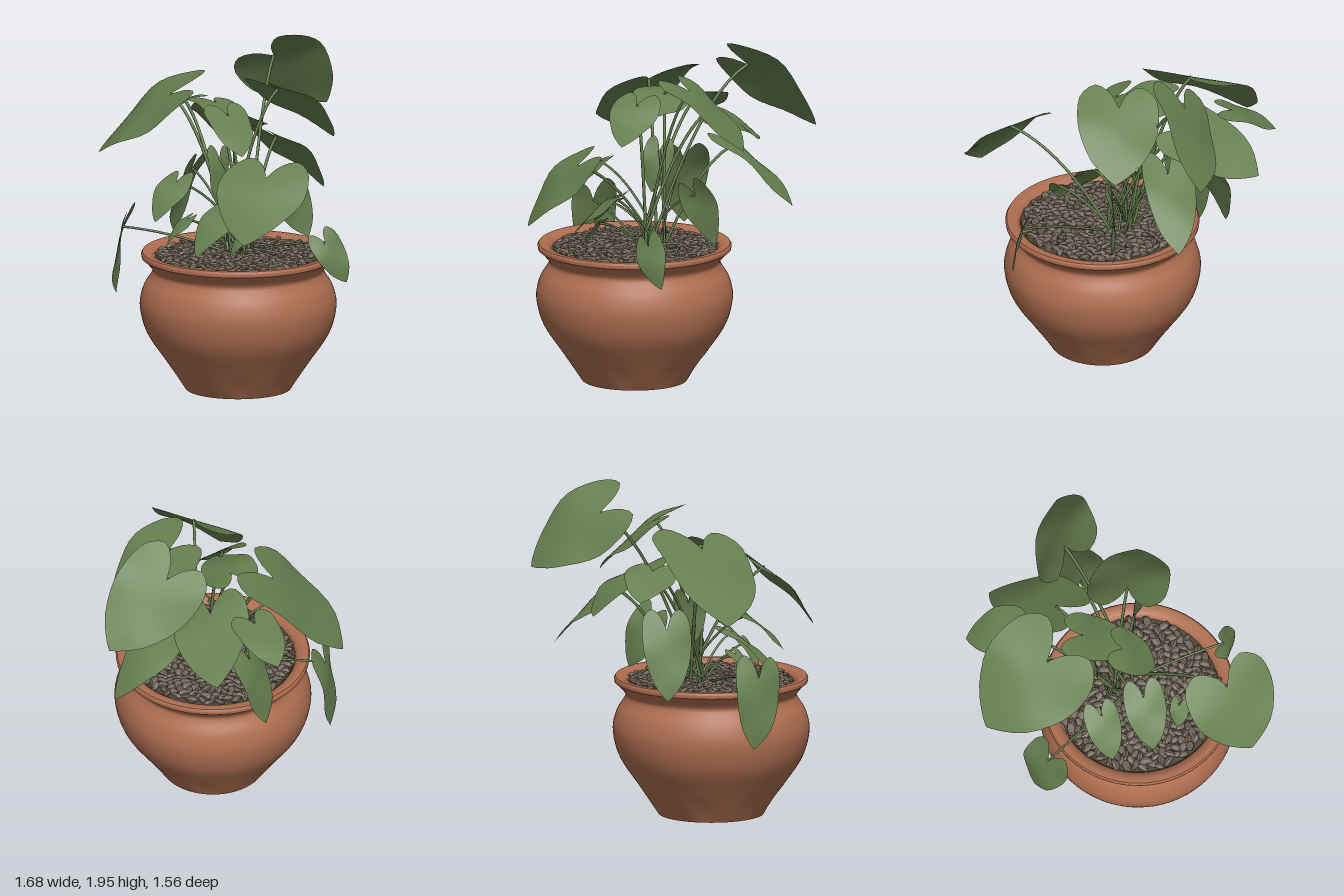
import * as THREE from 'three';
import { mergeGeometries, toCreasedNormals } from 'three/addons/utils/BufferGeometryUtils.js';

const V = (a) => new THREE.Vector3(...a);
const CENTRE = [0.11, 0.22]; // pot axis (x, z)
const CROWN = [0.03, 0.76, 0.13]; // where the stems leave the soil

// Tall leaves: name, stem joint, tip, roll about the midrib, width over length
const CANOPY = [
  ['topBackLeaf', [-0.2, 1.79, -0.38], [-0.17, 1.46, -0.78], 0.8, 0.96],
  ['upperBackLeaf', [0.11, 1.69, -0.1], [0.23, 1.38, -0.43], 0.2, 1.02],
  ['lowerBackLeaf', [-0.12, 1.34, -0.32], [-0.08, 1.0, -0.66], 0.1, 0.63],
  ['backRightLeaf', [-0.3, 1.49, -0.14], [-0.64, 1.27, -0.37], -0.35, 0.95],
  ['bigFrontRightLeaf', [-0.42, 1.63, 0.23], [-0.81, 1.26, 0.42], 0.27, 1.1],
  ['bigFrontLeftLeaf', [0.58, 1.34, 0.47], [0.67, 1, 0.74], 0.05, 1.2],
  ['sideRightLeaf', [-0.58, 1.53, -0.04], [-0.83, 1.39, -0.08], 0.1, 1],
  ['middleLeaf', [-0.2, 1.6, 0.1], [0.09, 1.5, 0.2], 0.2, 0.98],
  ['frontUpperLeaf', [0.02, 1.58, 0.22], [0.2, 1.37, 0.28], 0.1, 1],
];

// Young leaves, all of one proportion: name, stem joint, tip, roll
const YOUNG = [
  ['frontHeartLeaf', [0.12, 1.05, 0.34], [0.13, 0.82, 0.58], 0],
  ['frontSmallLeaf', [-0.15, 1.2, 0.46], [-0.12, 1, 0.66], 0],
  ['hangingRightLeaf', [-0.48, 0.9, 0.56], [-0.55, 0.5, 0.54], 0.9],
  ['droopingRightLeaf', [-0.45, 1.16, 0.03], [-0.57, 0.77, 0.05], 0.2],
  ['sideLeftLeaf', [0.64, 0.9, 0.05], [0.72, 0.67, -0.04], -1.2],
  ['innerLeftLeaf', [0.16, 1.1, -0.14], [0.2, 0.82, -0.26], 1.5],
  ['innerRightLeaf', [-0.14, 1.28, 0.12], [-0.12, 1.04, 0.16], 1.1],
  ['babyLeftLeaf', [0.32, 0.95, 0.39], [0.29, 0.82, 0.47], 0],
  ['babyRightLeaf', [-0.13, 0.97, 0.39], [-0.18, 0.84, 0.5], 0],
];
const YOUNG_RATIO = 0.72;

// Half of a heart outline as (side, along): notch at the origin, tip at (0, 1)
const HALF = [[0, 0], [0.2, -0.2], [0.55, -0.31], [0.9, -0.16], [1, 0.12], [0.92, 0.4], [0.6, 0.72], [0.22, 0.92], [0, 1]];

function heartOutline() {
  const half = new THREE.SplineCurve(HALF.map((p) => new THREE.Vector2(...p))).getPoints(20);
  const other = half.slice(1, -1).reverse().map((p) => new THREE.Vector2(-p.x, p.y));
  return [...half, ...other];
}

// Heart-shaped blade made of rings that shrink toward the midrib, arched lengthwise
function leafGeometry(base, tip, roll, ratio) {
  const outline = heartOutline(), n = outline.length, rings = 5;
  const axis = tip.clone().sub(base), len = axis.length();
  const side = new THREE.Vector3(-axis.z, 0, axis.x).normalize();
  side.applyAxisAngle(axis.clone().normalize(), -roll);
  const normal = new THREE.Vector3().crossVectors(side, axis).normalize();
  const pos = [], index = [];
  const put = (s, t) => {
    const h = len * (0.2 * t * (1 - t) - 0.03 * s * s + 0.04 * s * Math.sin(6 * t));
    const p = base.clone().addScaledVector(axis, t).addScaledVector(side, (s * len * ratio) / 2).addScaledVector(normal, h);
    pos.push(p.x, p.y, p.z);
  };
  put(0, 0.3);
  for (let r = 1; r <= rings; r++) {
    for (const o of outline) put((o.x * r) / rings, 0.3 + ((o.y - 0.3) * r) / rings);
  }
  for (let i = 0; i < n; i++) {
    const j = (i + 1) % n;
    index.push(0, 1 + i, 1 + j);
    for (let r = 1; r < rings; r++) {
      const a = 1 + (r - 1) * n, b = a + n;
      index.push(a + i, b + i, b + j, a + i, b + j, a + j);
    }
  }
  const g = new THREE.BufferGeometry();
  g.setAttribute('position', new THREE.Float32BufferAttribute(pos, 3));
  g.setIndex(index);
  g.computeVertexNormals();
  return g;
}

// Slender stem rising from the crown and arching over to the leaf joint
function stemGeometry(joint, i) {
  const start = V(CROWN).add(new THREE.Vector3(0.07 * Math.cos(i * 2.4), 0, 0.07 * Math.sin(i * 2.4)));
  const bend = start.clone().lerp(joint, 0.5);
  bend.y = start.y + (joint.y - start.y) * 0.85;
  const curve = new THREE.QuadraticBezierCurve3(start, bend, joint);
  return new THREE.TubeGeometry(curve, 16, joint.y > 1.3 ? 0.009 : 0.007, 6);
}

function potGeometry() {
  const points = (list) => list.map((p) => new THREE.Vector2(...p));
  const belly = new THREE.SplineCurve(points([[0.3, 0], [0.41, 0.165], [0.52, 0.33], [0.56, 0.48],
    [0.54, 0.59], [0.495, 0.665], [0.49, 0.7], [0.535, 0.755]])).getPoints(36);
  const foot = points([[0, 0.012], [0.27, 0.012], [0.285, 0]]);
  const rim = points([[0.55, 0.765], [0.553, 0.785], [0.545, 0.798], [0.52, 0.8], [0.49, 0.79], [0.47, 0.77], [0.46, 0.7]]);
  const g = new THREE.LatheGeometry([...foot, ...belly, ...rim], 72);
  // Shallow thumb dents around the foot
  const p = g.attributes.position;
  for (let i = 0; i < p.count; i++) {
    const x = p.getX(i), y = p.getY(i), z = p.getZ(i);
    if (y > 0.16 || Math.hypot(x, z) < 0.29) continue;
    const dent = 1 - 0.02 * Math.max(0, Math.cos(8 * Math.atan2(x, z))) * Math.sin((Math.PI * y) / 0.16);
    p.setX(i, x * dent);
    p.setZ(i, z * dent);
  }
  return toCreasedNormals(g, 0.7);
}

// Bed of elongated pebbles on a spiral scatter
function pebbleGeometry() {
  let seed = 7;
  const rand = () => (seed = (seed * 16807) % 2147483647) / 2147483647;
  const list = [], count = 380;
  for (let i = 0; i < count; i++) {
    const r = 0.45 * Math.sqrt((i + 0.5) / count), a = i * 2.39996;
    const g = new THREE.IcosahedronGeometry(1, 0);
    g.scale(0.034 + 0.016 * rand(), 0.015 + 0.006 * rand(), 0.019 + 0.008 * rand());
    g.rotateZ((rand() - 0.5) * 0.6);
    g.rotateY(rand() * Math.PI);
    g.translate(r * Math.cos(a), 0.768 + 0.014 * rand(), r * Math.sin(a));
    list.push(g);
  }
  return mergeGeometries(list);
}

export function createModel() {
  const model = new THREE.Group();
  const mat = (name, color, extra = {}) => {
    const m = new THREE.MeshStandardMaterial({ color, ...extra });
    m.name = name;
    return m;
  };
  const terracotta = mat('terracotta', 0xae6e50);
  const soilMat = mat('darkSoil', 0x51473b);
  const stone = mat('pebbleBrown', 0x72675a, { flatShading: true });
  const leafGreen = mat('leafGreen', 0x667f4f, { side: THREE.DoubleSide });
  const stemGreen = mat('stemGreen', 0x627c4b);
  const add = (parent, name, geo, material) => {
    const mesh = new THREE.Mesh(geo, material);
    mesh.name = name;
    parent.add(mesh);
  };

  // Pot, soil and pebbles share the pot axis
  const planter = new THREE.Group();
  planter.name = 'planter';
  planter.position.set(CENTRE[0], 0, CENTRE[1]);
  add(planter, 'pot', potGeometry(), terracotta);
  add(planter, 'soil', new THREE.CylinderGeometry(0.467, 0.46, 0.05, 48).translate(0, 0.745, 0), soilMat);
  add(planter, 'pebbles', pebbleGeometry(), stone);
  model.add(planter);

  // Leaves, each with its own stem
  const plant = new THREE.Group();
  plant.name = 'plant';
  [...CANOPY, ...YOUNG].forEach(([name, joint, tip, roll, ratio = YOUNG_RATIO], i) => {
    add(plant, name, leafGeometry(V(joint), V(tip), roll, ratio), leafGreen);
    add(plant, name + 'Stem', stemGeometry(V(joint), i), stemGreen);
  });
  model.add(plant);
  return model;
}
